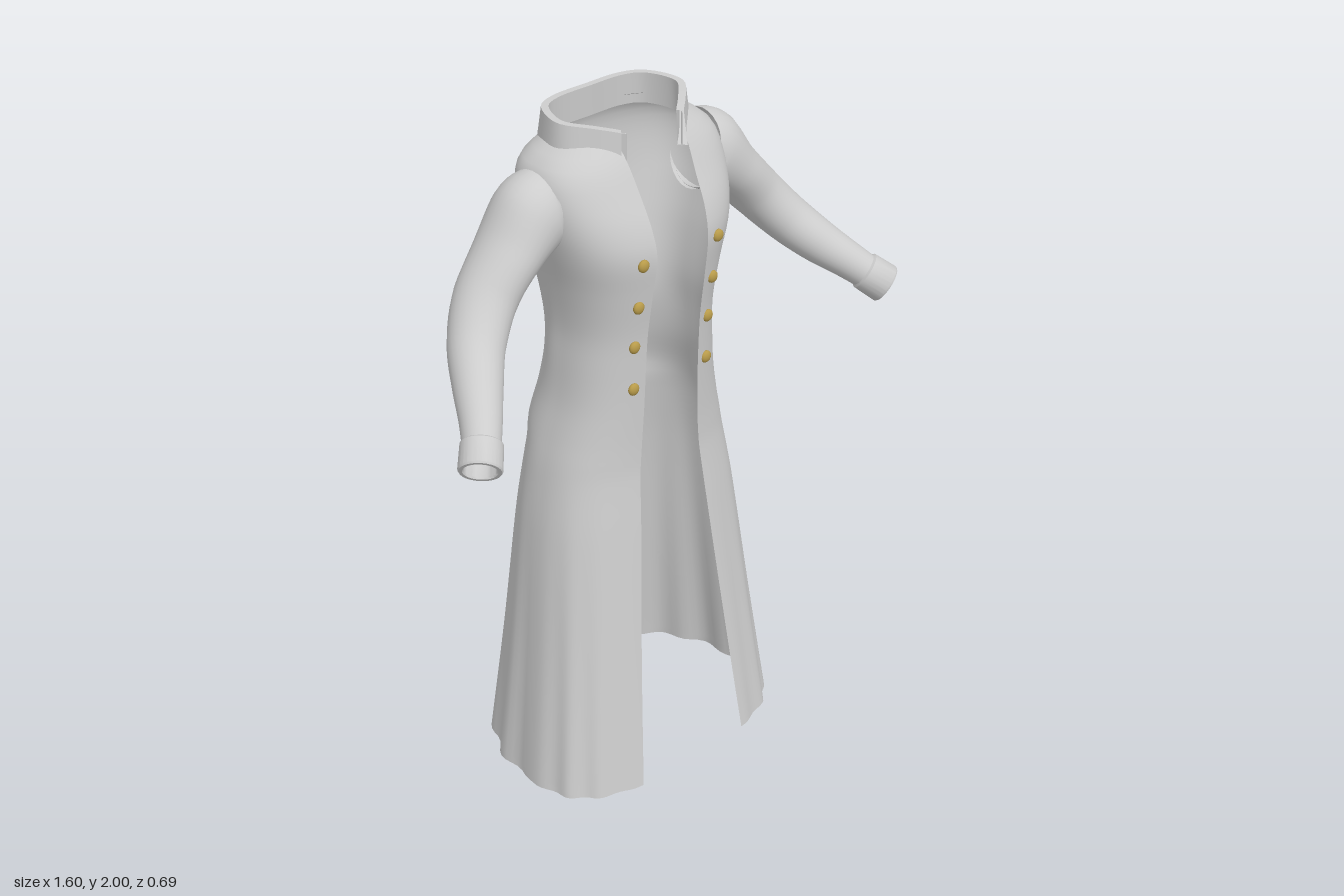
import * as THREE from 'three';
import { toCreasedNormals } from 'three/addons/utils/BufferGeometryUtils.js';

const V = (x, y, z) => new THREE.Vector3(x, y, z);

// Smooth table lookup: rows are [key, value, value, ...]
function lookup(rows, t) {
  let i = 0;
  while (i < rows.length - 2 && t > rows[i + 1][0]) i++;
  const at = (k) => rows[Math.min(rows.length - 1, Math.max(0, k))];
  const [p, a, b, n] = [at(i - 1), at(i), at(i + 1), at(i + 2)];
  const h = b[0] - a[0], u = (t - a[0]) / h;
  return a.slice(1).map((av, k) => {
    const bv = b[k + 1];
    const m0 = ((bv - p[k + 1]) / (b[0] - p[0])) * h;
    const m1 = ((n[k + 1] - av) / (n[0] - a[0])) * h;
    const u2 = u * u, u3 = u2 * u;
    return (2 * u3 - 3 * u2 + 1) * av + (u3 - 2 * u2 + u) * m0 + (3 * u2 - 2 * u3) * bv + (u3 - u2) * m1;
  });
}

// Skin a list of equally long point rows
function loft(rings, closed = false) {
  const n = rings[0].length, idx = [];
  for (let r = 0; r < rings.length - 1; r++) {
    for (let i = 0; i < (closed ? n : n - 1); i++) {
      const a = r * n + i, b = r * n + ((i + 1) % n);
      idx.push(a, b, a + n, b, b + n, a + n);
    }
  }
  const g = new THREE.BufferGeometry().setFromPoints(rings.flat());
  g.setIndex(idx);
  g.computeVertexNormals();
  return g;
}

// Coat body: y, half width, front z, back z, half opening, widest z, front and back squareness
const BODY = [
  [0, 0.43, 0.322, -0.345, 0.2, 0.05, 3, 2.1],
  [0.4, 0.382, 0.272, -0.292, 0.165, 0.03, 2.9, 2.1],
  [0.8, 0.337, 0.226, -0.235, 0.128, 0.01, 2.7, 2.2],
  [0.98, 0.308, 0.205, -0.2, 0.113, 0, 2.6, 2.3],
  [1.03, 0.298, 0.203, -0.195, 0.109, 0, 2.6, 2.3],
  [1.09, 0.283, 0.203, -0.205, 0.105, 0, 2.6, 2.3],
  [1.2, 0.257, 0.206, -0.18, 0.1, 0.01, 2.6, 2.3],
  [1.32, 0.245, 0.21, -0.145, 0.098, 0.01, 2.6, 2.4],
  [1.42, 0.24, 0.216, -0.147, 0.097, 0.01, 2.6, 2.5],
  [1.55, 0.257, 0.232, -0.167, 0.095, 0.01, 2.6, 2.6],
  [1.66, 0.283, 0.242, -0.18, 0.092, 0.01, 2.6, 2.7],
  [1.74, 0.3, 0.222, -0.184, 0.096, 0, 2.6, 2.8],
  [1.82, 0.305, 0.182, -0.185, 0.1, -0.01, 2.6, 2.8],
  [1.88, 0.292, 0.153, -0.178, 0.105, -0.02, 2.5, 2.6],
  [1.915, 0.255, 0.135, -0.16, 0.108, -0.02, 2.3, 2.4],
  [1.94, 0.212, 0.122, -0.14, 0.11, -0.02, 2.1, 2.3],
];

function bodyRow(y, steps = 28) {
  const [w, zf, zb, e, c, nf, nb] = lookup(BODY, y);
  const a0 = Math.asin(Math.pow(e / w, nf / 2));
  const fold = 0.022 * Math.pow(Math.max(0, 1 - y / 1.0), 1.2);
  const half = [];
  for (let i = 0; i <= 2 * steps; i++) {
    const front = i < steps;
    const a = front ? a0 + (Math.PI / 2 - a0) * (i / steps) : (Math.PI / 2) * (i / steps);
    const n = front ? nf : nb;
    const k = 1 - fold * (front ? 0.6 : 1) * Math.cos(17 * (Math.PI - a));
    const x = w * Math.pow(Math.max(0, Math.sin(a)), 2 / n);
    const z = (front ? zf - c : zb - c) * Math.pow(Math.abs(Math.cos(a)), 2 / n);
    half.push(V(x * k, y, c + z * k));
  }
  const other = half.slice(0, -1).reverse().map((p) => V(-p.x, p.y, p.z));
  return [...half, ...other];
}

// Height of the front panel at a given x, y
function frontZ(x, y) {
  const [w, zf, , , c, nf] = lookup(BODY, y);
  return c + (zf - c) * Math.pow(1 - Math.pow(x / w, nf), 1 / nf);
}

// Sleeve: step, centre x, y, z, radius across, radius in depth
const SLEEVE = [
  [0, 0.28, 1.775, -0.01, 0.115, 0.1],
  [1, 0.32, 1.762, -0.008, 0.112, 0.106],
  [2, 0.4, 1.69, 0, 0.083, 0.1],
  [3, 0.49, 1.595, 0.015, 0.076, 0.088],
  [4, 0.565, 1.505, 0.065, 0.07, 0.077],
  [5, 0.625, 1.435, 0.14, 0.063, 0.066],
  [6, 0.675, 1.385, 0.21, 0.054, 0.056],
  [7, 0.72, 1.34, 0.267, 0.049, 0.049],
];

function sleeveGeometry(s) {
  const rings = [], centre = (t) => V(...lookup(SLEEVE, t).slice(0, 3));
  for (let k = 0; k <= 42; k++) {
    const t = k / 6, [, , , ru, rb] = lookup(SLEEVE, t);
    const mid = centre(t);
    const dir = centre(Math.min(7, t + 0.1)).sub(centre(Math.max(0, t - 0.1))).normalize();
    const side = dir.clone().cross(V(0, 1, 0)).normalize();
    const up = side.clone().cross(dir);
    const ring = [];
    for (let i = 0; i < 28; i++) {
      const a = (i / 28) * Math.PI * 2 * s;
      const p = mid.clone().addScaledVector(up, ru * Math.cos(a)).addScaledVector(side, rb * Math.sin(a));
      ring.push(V(p.x * s, p.y, p.z));
    }
    rings.push(ring);
  }
  return loft(rings, true);
}

// Standing collar: a thick band swept round the open neckline
function collarGeometry() {
  const half = [V(0.108, 0, 0.115), V(0.16, 0, 0.068), V(0.213, 0, 0.005), V(0.212, 0, -0.045), V(0.175, 0, -0.115), V(0.115, 0, -0.14)];
  const path = new THREE.CatmullRomCurve3([...half, V(0, 0, -0.143), ...half.slice().reverse().map((p) => V(-p.x, 0, p.z))]);
  const rings = [];
  for (let i = 0; i <= 60; i++) {
    const u = i / 60, p = path.getPointAt(u), d = path.getTangentAt(u);
    const out = V(-d.z, 0, d.x).normalize();
    if (out.dot(V(p.x, 0, p.z + 0.02)) < 0) out.negate();
    const f = Math.pow(Math.abs(2 * u - 1), 4);
    const top = 2 - 0.025 * f, low = 1.912 - 0.035 * f;
    const at = (o, y) => V(p.x + out.x * o, y, p.z + out.z * o);
    rings.push([at(0.016, low), at(0.004, top), at(-0.016, top), at(-0.012, low)]);
  }
  return toCreasedNormals(loft(rings, true), 0.7);
}

export function createModel() {
  const cloth = new THREE.MeshStandardMaterial({ color: 0xcccccc, side: THREE.DoubleSide });
  cloth.name = 'pale grey cloth';
  const brass = new THREE.MeshStandardMaterial({ color: 0xb89b4a });
  brass.name = 'brass';

  const coat = new THREE.Group();
  coat.name = 'longCoat';
  const add = (name, geometry, material) => {
    const mesh = new THREE.Mesh(geometry, material);
    mesh.name = name;
    coat.add(mesh);
    return mesh;
  };

  // Body and flared skirt in one open-fronted shell
  const rows = [];
  for (let i = 0; i <= 80; i++) rows.push(bodyRow((1.94 * i) / 80));
  add('coatBody', loft(rows), cloth);
  add('collar', collarGeometry(), cloth);

  // Collar end caps
  for (const s of [1, -1]) {
    const cap = add('collarEnd', new THREE.BoxGeometry(0.026, 0.095, 0.004), cloth);
    cap.position.set(s * 0.108, 1.926, 0.115);
    cap.rotation.y = s * 0.85;
  }

  // Sleeves, turned cuffs and two rows of buttons
  const cuffShape = [[0.044, -0.01], [0.056, 0], [0.058, 0.07], [0.055, 0.075], [0.046, 0.075], [0.043, 0.07], [0.042, 0.0]];
  const cuffGeometry = toCreasedNormals(new THREE.LatheGeometry(cuffShape.map((p) => new THREE.Vector2(...p)), 28), 0.6);
  const buttonGeometry = new THREE.SphereGeometry(0.018, 14, 10);
  for (const s of [1, -1]) {
    const side = s > 0 ? 'left' : 'right';
    add(side + 'Sleeve', sleeveGeometry(s), cloth);

    const cuff = add(side + 'Cuff', cuffGeometry, cloth);
    cuff.position.set(s * 0.71, 1.35, 0.255);
    cuff.quaternion.setFromUnitVectors(V(0, 1, 0), V(s * 0.58, -0.55, 0.6).normalize());

    for (const y of [1.26, 1.39, 1.515, 1.645]) {
      const button = add(side + 'Button', buttonGeometry, brass);
      button.position.set(s * 0.135, y, frontZ(0.135, y) + 0.003);
      button.scale.z = 0.6;
    }
  }
  return coat;
}
